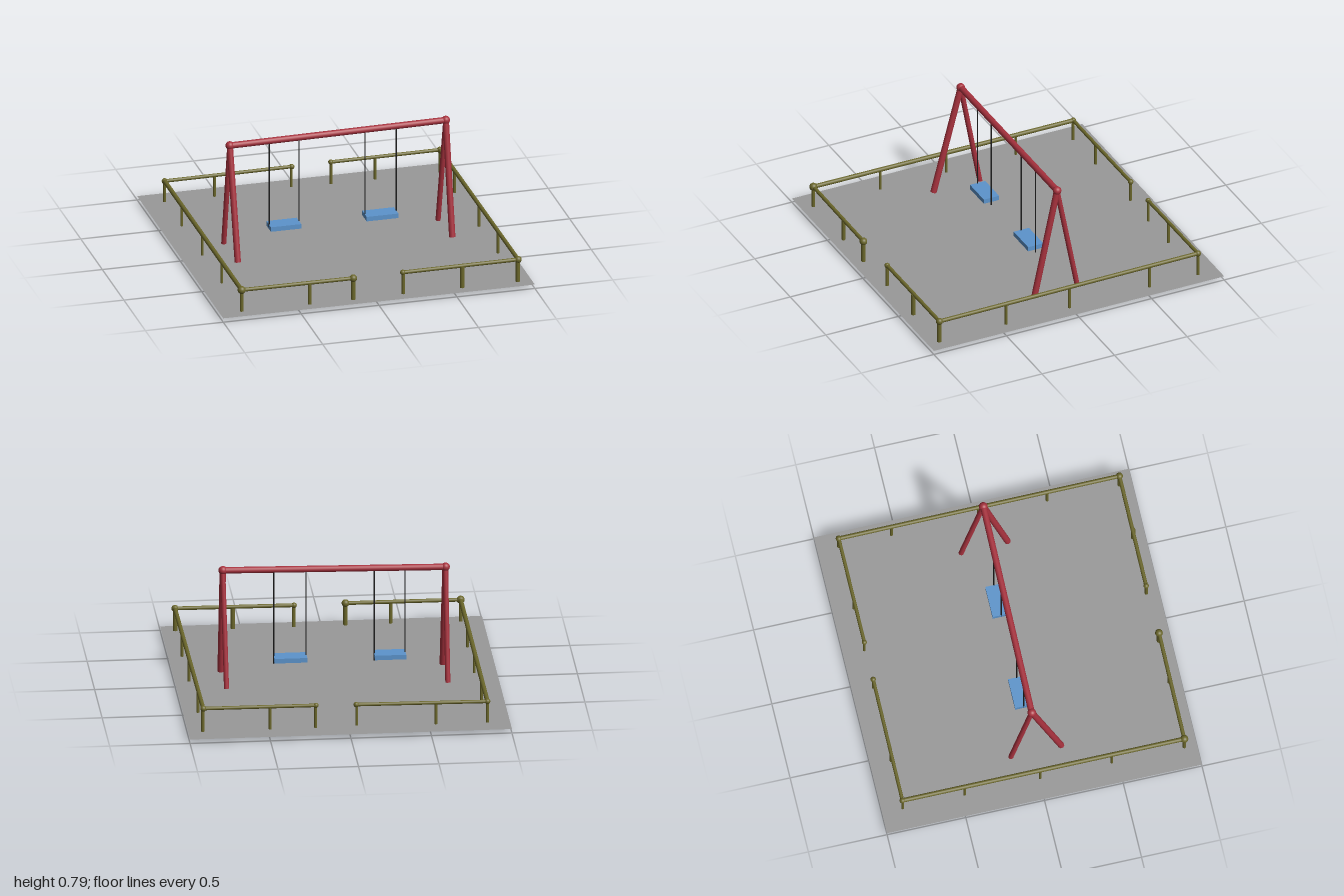
import * as THREE from 'three';

const mat = (color) => new THREE.MeshStandardMaterial({ color });
const red = mat(0xa8323e), olive = mat(0x6b672b), blue = mat(0x5c94cc), black = mat(0x1c1c1c);
const ground = new THREE.MeshStandardMaterial({ color: 0x999999, side: THREE.DoubleSide });

// Round bar between two points
function bar(name, a, b, r, material) {
  const p = new THREE.Vector3(...a), q = new THREE.Vector3(...b);
  const d = q.clone().sub(p);
  const mesh = new THREE.Mesh(new THREE.CylinderGeometry(r, r, d.length(), 16), material);
  mesh.quaternion.setFromUnitVectors(new THREE.Vector3(0, 1, 0), d.normalize());
  mesh.position.copy(p).add(q).multiplyScalar(0.5);
  mesh.name = name;
  return mesh;
}

function ball(name, p, r, material) {
  const mesh = new THREE.Mesh(new THREE.SphereGeometry(r, 20, 14), material);
  mesh.position.set(...p);
  mesh.name = name;
  return mesh;
}

function createFence() {
  const fence = new THREE.Group();
  fence.name = 'fence';
  // Corners and gate ends: position and ball radius
  const frontLeft = [0.915, 0.172, 0.92], frontRight = [-0.86, 0.168, 0.92];
  const backLeft = [0.905, 0.177, -0.865], backRight = [-0.86, 0.165, -0.87];
  const frontGateA = [-0.145, 0.168, 0.925], frontGateB = [0.175, 0.168, 0.918];
  const backGateA = [-0.045, 0.171, -0.867], backGateB = [0.205, 0.174, -0.865];

  const rails = [
    [frontRight, frontGateA, 0.012], [frontGateB, frontLeft, 0.012],
    [backRight, backGateA, 0.011], [backGateB, backLeft, 0.011],
    [frontRight, backRight, 0.014], [frontLeft, backLeft, 0.013],
  ];
  for (const [a, b, r] of rails) fence.add(bar('rail', a, b, r, olive));

  const knobs = [
    [frontRight, 0.025], [frontLeft, 0.022], [backLeft, 0.019], [backRight, 0.018],
    [frontGateA, 0.024], [frontGateB, 0.017], [backGateA, 0.017], [backGateB, 0.016],
  ];
  for (const [p, r] of knobs) fence.add(ball('fenceKnob', p, r, olive));

  // Posts: x, z, bottom height, radius
  const posts = [
    [-0.86, 0.92, 0.018, 0.011], [-0.425, 0.925, 0.026, 0.011], [-0.145, 0.925, 0.018, 0.014],
    [0.178, 0.92, 0.022, 0.011], [0.555, 0.923, 0, 0.014], [0.913, 0.92, 0.026, 0.014],
    [-0.86, -0.868, 0.027, 0.009], [-0.54, -0.868, 0.027, 0.009], [-0.048, -0.867, 0.036, 0.009],
    [0.207, -0.865, 0.028, 0.009], [0.49, -0.865, 0.027, 0.009], [0.908, -0.865, 0.02, 0.01],
    [-0.86, 0.46, 0.027, 0.008], [-0.86, 0.005, 0.027, 0.008], [-0.86, -0.475, 0.023, 0.008],
    [0.913, 0.46, 0.027, 0.009], [0.911, 0.023, 0.027, 0.009], [0.908, -0.53, 0.027, 0.009],
  ];
  for (const [x, z, y, r] of posts) fence.add(bar('post', [x, y, z], [x, 0.17, z], r, olive));
  return fence;
}

function createSwing() {
  const swing = new THREE.Group();
  swing.name = 'swingSet';
  const apexR = [-0.68, 0.738, -0.007], apexL = [0.703, 0.758, 0.006];
  swing.add(bar('crossbeam', apexR, apexL, 0.02, red));
  swing.add(ball('beamJoint', apexR, 0.027, red), ball('beamJoint', apexL, 0.027, red));
  // A-frame legs
  swing.add(bar('frontLeg', apexR, [-0.68, 0.03, 0.18], 0.02, red));
  swing.add(bar('backLeg', apexR, [-0.682, 0.024, -0.14], 0.016, red));
  swing.add(bar('frontLeg', apexL, [0.702, 0.036, 0.16], 0.02, red));
  swing.add(bar('backLeg', apexL, [0.693, 0.03, -0.137], 0.016, red));

  // Two hanging seats with their ropes
  for (const [x0, x1] of [[-0.432, -0.237], [0.183, 0.387]]) {
    const seat = new THREE.Mesh(new THREE.BoxGeometry(x1 - x0, 0.03, 0.105), blue);
    seat.position.set((x0 + x1) / 2, 0.168, -0.002);
    seat.name = 'seat';
    swing.add(seat);
    swing.add(bar('rope', [x0 + 0.003, 0.74, 0], [x0 + 0.003, 0.165, 0], 0.004, black));
    swing.add(bar('rope', [x1, 0.745, 0], [x1, 0.133, 0], 0.004, black));
  }
  return swing;
}

export function createModel() {
  const model = new THREE.Group();
  model.name = 'swingPlayground';
  const floor = new THREE.Mesh(new THREE.PlaneGeometry(2, 2), ground);
  floor.rotation.x = -Math.PI / 2;
  floor.position.y = 0.026;
  floor.name = 'ground';
  model.add(floor, createFence(), createSwing());
  return model;
}
